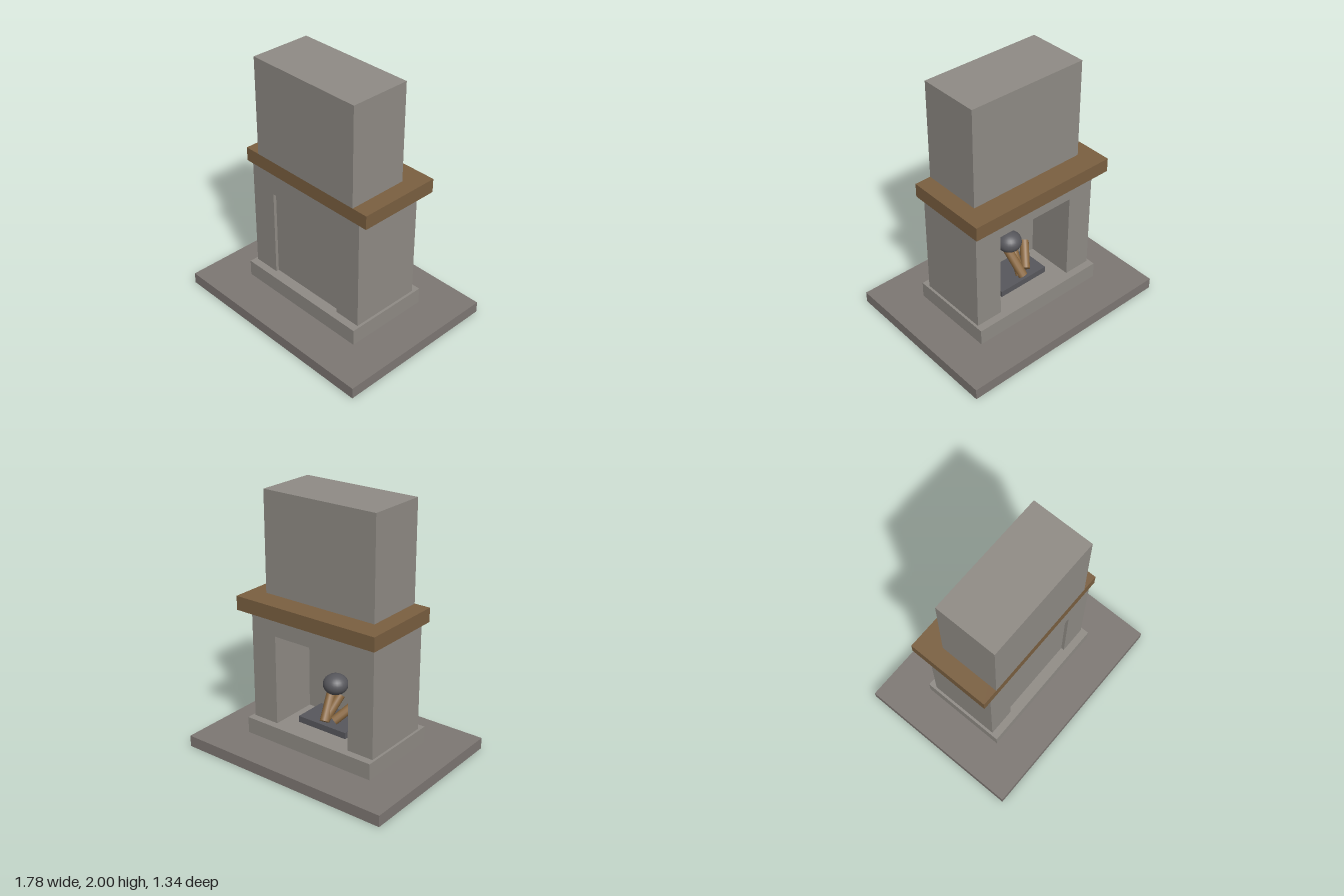
import * as THREE from 'three';

const paint = (color) => new THREE.MeshStandardMaterial({ color });

export function createModel() {
  const model = new THREE.Group();
  model.name = 'fireplace';
  const stone = paint(0x8f8b85);
  const slabStone = paint(0x7d7773);
  const timber = paint(0x7a5f40);
  const iron = paint(0x57575c);
  const bark = paint(0x8a6840);

  // Box given by its lower and upper corner
  const block = (name, material, [x0, y0, z0], [x1, y1, z1]) => {
    const mesh = new THREE.Mesh(new THREE.BoxGeometry(x1 - x0, y1 - y0, z1 - z0), material);
    mesh.position.set((x0 + x1) / 2, (y0 + y1) / 2, (z0 + z1) / 2);
    mesh.name = name;
    model.add(mesh);
  };

  // Stepped base
  block('groundSlab', slabStone, [-0.89, 0, -0.67], [0.89, 0.09, 0.67]);
  block('hearth', stone, [-0.575, 0.09, -0.35], [0.575, 0.22, 0.35]);

  // Surround: two piers, a lintel and the slightly recessed wall behind the fire
  block('rightPier', stone, [-0.555, 0.22, -0.29], [-0.335, 0.935, 0.29]);
  block('leftPier', stone, [0.335, 0.22, -0.29], [0.555, 0.935, 0.29]);
  block('lintel', stone, [-0.555, 0.935, -0.29], [0.555, 1.105, 0.29]);
  block('fireboxWall', stone, [-0.335, 0.22, 0.1], [0.335, 0.935, 0.265]);

  // Mantel shelf and chimney
  block('mantel', timber, [-0.62, 1.105, -0.38], [0.62, 1.215, 0.29]);
  block('chimney', stone, [-0.49, 1.215, -0.2], [0.49, 2, 0.29]);

  // Fire grate
  block('grate', iron, [-0.22, 0.22, -0.17], [0.22, 0.27, 0.1]);

  // Logs leaning together, each from its foot to its tip
  const logs = [
    [[-0.01, 0.29, -0.15], [0.03, 0.5, 0]],
    [[0, 0.29, -0.13], [-0.04, 0.46, 0.01]],
    [[-0.07, 0.3, -0.11], [-0.18, 0.43, 0.03]],
  ];
  const up = new THREE.Vector3(0, 1, 0);
  for (const [foot, tip] of logs) {
    const a = new THREE.Vector3(...foot);
    const b = new THREE.Vector3(...tip);
    const log = new THREE.Mesh(new THREE.CylinderGeometry(0.036, 0.036, a.distanceTo(b), 12), bark);
    log.position.copy(a).lerp(b, 0.5);
    log.quaternion.setFromUnitVectors(up, b.sub(a).normalize());
    log.name = 'log';
    model.add(log);
  }

  // Flattened ball of smoke above the logs
  const smoke = new THREE.Mesh(new THREE.SphereGeometry(0.097, 24, 16), iron);
  smoke.scale.y = 0.83;
  smoke.position.set(0, 0.54, 0);
  smoke.name = 'smoke';
  model.add(smoke);

  return model;
}
